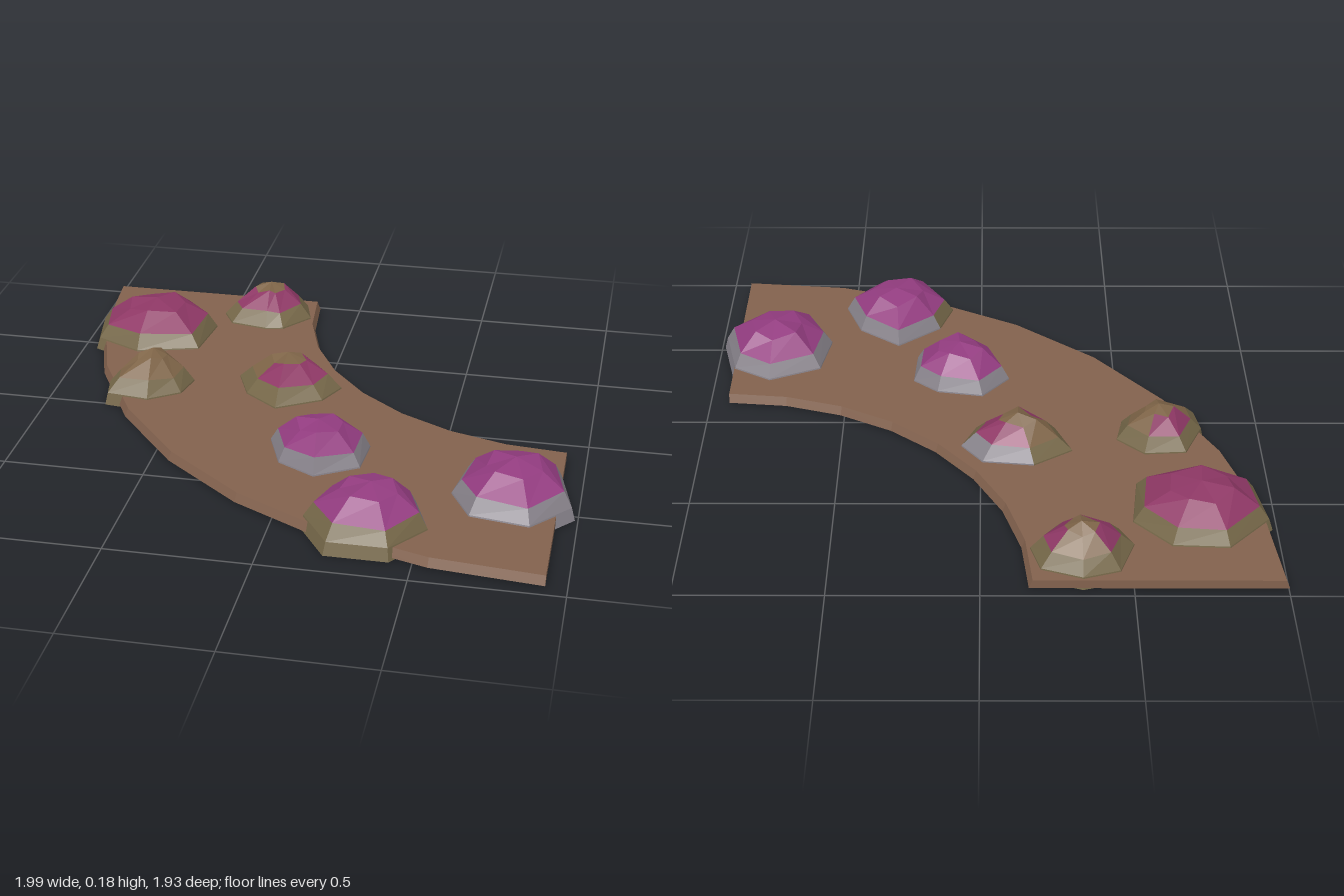
import * as THREE from 'three';

const mat = (name, color) => {
  // flatShading keeps the facets crisp
  const m = new THREE.MeshStandardMaterial({ color, flatShading: true });
  m.name = name;
  return m;
};

// Rocks: apex [x, z], skirt outline (clockwise from above), and the sectors that carry crystal
const ROCKS = [
  { apex: [-0.74, -0.60], crystal: 'magenta', skirt: 'ooooooo', top: 0.172, heart: 0.42,
    outline: [[-0.83, -0.81], [-0.63, -0.80], [-0.50, -0.66], [-0.525, -0.43], [-0.765, -0.36], [-0.95, -0.45], [-0.985, -0.645]] },
  { apex: [-0.33, -0.83], crystal: 'magenta', skirt: 'oooooooo', top: 0.175, heart: 0.2, mask: '01111110',
    outline: [[-0.335, -0.97], [-0.19, -0.92], [-0.155, -0.80], [-0.25, -0.675], [-0.32, -0.66], [-0.47, -0.69], [-0.52, -0.78], [-0.465, -0.93]] },
  { apex: [-0.63, -0.14], crystal: 'magenta', skirt: 'ooooooo', top: 0.178, heart: 0.2, mask: '1000001',
    outline: [[-0.73, -0.255], [-0.575, -0.265], [-0.475, -0.17], [-0.50, -0.05], [-0.615, 0.03], [-0.78, 0.01], [-0.80, -0.095]] },
  { apex: [-0.13, -0.20], crystal: 'magenta', skirt: 'ggooooo', top: 0.178, heart: 0.3, mask: '1111100',
    outline: [[-0.19, -0.335], [0, -0.315], [0.08, -0.21], [0.025, -0.09], [-0.14, 0.01], [-0.275, -0.095], [-0.335, -0.24]] },
  { apex: [0.08, 0.29], crystal: 'violet', skirt: 'ggggggg', top: 0.17, heart: 0.42,
    outline: [[-0.01, 0.105], [0.165, 0.135], [0.26, 0.215], [0.25, 0.385], [0.095, 0.48], [-0.05, 0.40], [-0.115, 0.23]] },
  { apex: [0.33, 0.69], crystal: 'violet', skirt: 'ggoooog', top: 0.17, heart: 0.42,
    outline: [[0.315, 0.455], [0.475, 0.575], [0.54, 0.75], [0.425, 0.905], [0.21, 0.905], [0.10, 0.74], [0.15, 0.59]] },
  { apex: [0.78, 0.44], crystal: 'violet', skirt: 'ggggggg', top: 0.175, heart: 0.42,
    outline: [[0.79, 0.21], [0.935, 0.295], [0.99, 0.525], [0.855, 0.68], [0.64, 0.645], [0.56, 0.495], [0.595, 0.295]] },
];

// Faceted mound lofted from scaled copies of its outline; one mesh per colour
function makeRock({ apex, outline, crystal, skirt, top, heart, mask }, mats) {
  const [cx, cz] = apex;
  const n = outline.length;
  // [scale, height] from the underside centre to the apex
  const rings = [[0, 0], [heart, 0], [1, 0], [0.94, 0.045], [mask ? 0.7 : 0.8, 0.095], [mask ? 0.32 : 0.44, 0.152], [0, top]];
  const point = (k, i) => {
    const [s, y] = rings[k];
    const [x, z] = outline[i % n];
    const wobble = k === 4 || k === 5 ? 1 + 0.06 * Math.sin((i % n) * 2.4 + k) : 1;
    return [cx + (x - cx) * s, y * wobble, cz + (z - cz) * s];
  };
  const faces = {};
  const add = (name, ...pts) => (faces[name] ??= []).push(...pts.flat());

  for (let k = 0; k < rings.length - 1; k++) {
    for (let i = 0; i < n; i++) {
      const stone = skirt[i] === 'g' ? 'grey' : 'olive';
      let name = stone;
      if (k === 0) name = crystal;
      if (k === 4) name = !mask || mask[i] === '1' ? crystal : 'tan';
      if (k === 5) name = mask ? 'tan' : crystal;
      const a = point(k, i), b = point(k, i + 1), c = point(k + 1, i + 1), d = point(k + 1, i);
      if (rings[k][0] > 0) add(name, b, a, d);
      if (rings[k + 1][0] > 0) add(name, b, d, c);
    }
  }

  const rock = new THREE.Group();
  rock.name = 'rock';
  for (const [name, pts] of Object.entries(faces)) {
    const g = new THREE.BufferGeometry();
    g.setAttribute('position', new THREE.Float32BufferAttribute(pts, 3));
    g.computeVertexNormals();
    const mesh = new THREE.Mesh(g, mats[name]);
    mesh.name = name === crystal ? 'crystalFacets' : name + 'Stone';
    rock.add(mesh);
  }
  return rock;
}

// Quarter-ring ground slab whose curved sides flare towards the bottom
function makeSlab(material) {
  const cx = 0.93, cz = -0.97, steps = 8, inner = 1.1, outer = 1.92;
  const arc = (r, i) => {
    const t = (i / steps) * Math.PI / 2;
    return new THREE.Vector2(cx - r * Math.cos(t), cz + r * Math.sin(t));
  };
  const pts = [];
  for (let i = 0; i <= steps; i++) pts.push(arc(inner, i));
  for (let i = steps; i >= 0; i--) pts.push(arc(outer, i));
  const g = new THREE.ExtrudeGeometry(new THREE.Shape(pts), { depth: 0.032, bevelEnabled: false });
  g.rotateX(Math.PI / 2).translate(0, 0.04, 0);
  const p = g.attributes.position;
  for (let i = 0; i < p.count; i++) {
    if (p.getY(i) > 0.02) continue;
    const dx = p.getX(i) - cx, dz = p.getZ(i) - cz, r = Math.hypot(dx, dz);
    const f = (r + (r > 1.5 ? 0.012 : -0.012)) / r;
    p.setX(i, cx + dx * f);
    p.setZ(i, cz + dz * f);
  }
  g.computeVertexNormals();
  const slab = new THREE.Mesh(g, material);
  slab.name = 'groundSlab';
  return slab;
}

export function createModel() {
  const mats = {
    soil: mat('soil brown', 0x83624e),
    olive: mat('olive stone', 0x766849),
    grey: mat('grey stone', 0x87828a),
    tan: mat('tan stone', 0x7f6548),
    magenta: mat('magenta crystal', 0x8f3866),
    violet: mat('violet crystal', 0x933c80),
  };
  const model = new THREE.Group();
  model.name = 'crystalRockBed';
  model.add(makeSlab(mats.soil));
  for (const r of ROCKS) model.add(makeRock(r, mats));
  return model;
}
